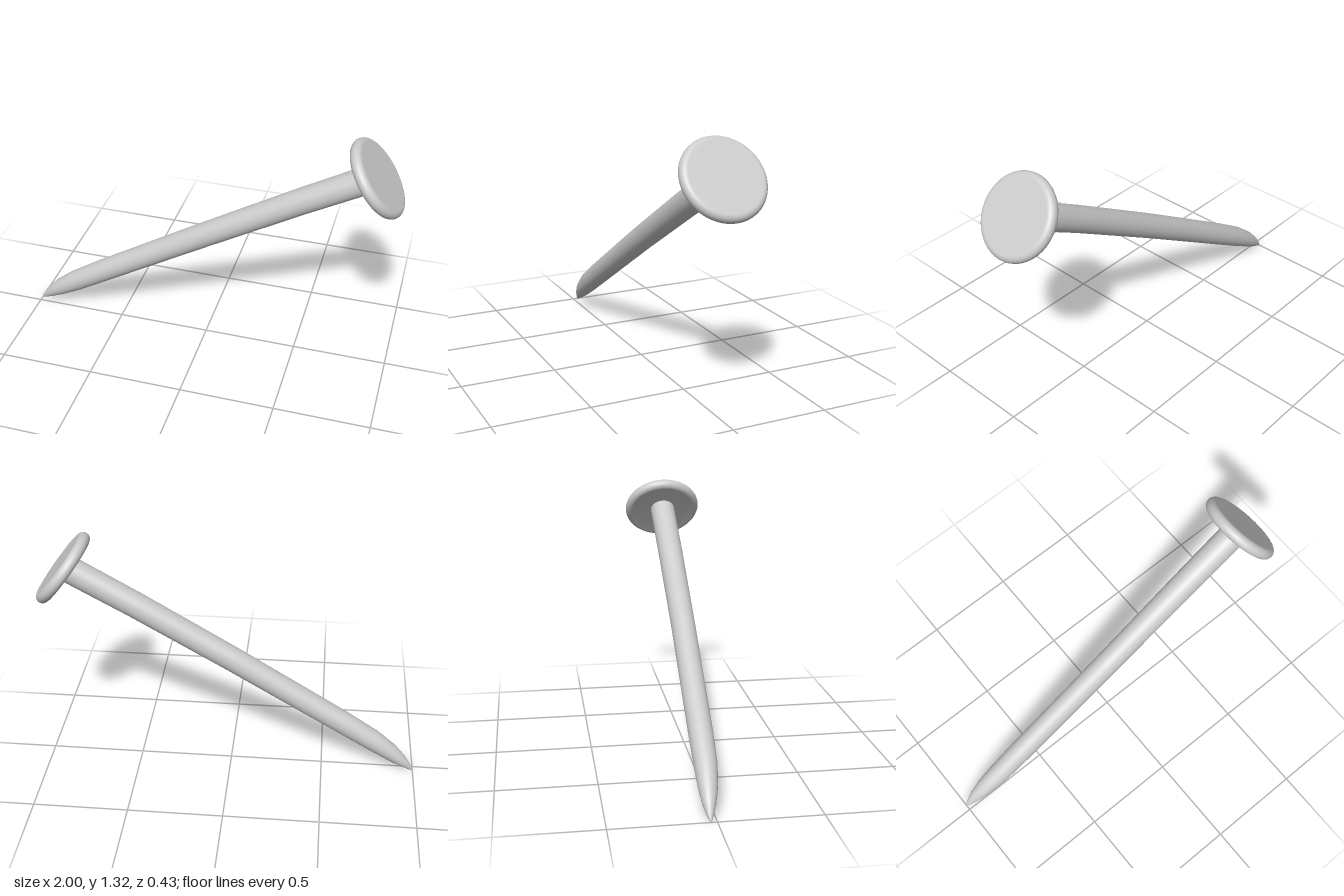
import * as THREE from 'three';

const material = new THREE.MeshStandardMaterial({ color: 0xcccccc, side: THREE.DoubleSide });

// Loft of elliptical rings along the shaft; each station is [x, y, z, in-plane radius, z radius]
function loft(stations, sides) {
  const nx = -0.515, ny = 0.857; // across the shaft in the xy plane
  const pos = [], idx = [];
  for (const [x, y, z, r, rz] of stations) {
    for (let i = 0; i < sides; i++) {
      const a = (i / sides) * Math.PI * 2;
      const c = Math.cos(a) * r;
      pos.push(x + nx * c, y + ny * c, z + Math.sin(a) * rz);
    }
  }
  for (let j = 0; j < stations.length - 1; j++) {
    for (let i = 0; i < sides; i++) {
      const k = (i + 1) % sides;
      const a = j * sides + i, b = j * sides + k;
      idx.push(a, b, b + sides, a, b + sides, a + sides);
    }
  }
  const g = new THREE.BufferGeometry();
  g.setAttribute('position', new THREE.Float32BufferAttribute(pos, 3));
  g.setIndex(idx);
  g.computeVertexNormals();
  return g;
}

export function createModel() {
  const group = new THREE.Group();
  group.name = 'nail';

  // Shaft with a lopsided tapered point
  const shaft = new THREE.Mesh(loft([
    [-0.999, 0.001, -0.03, 0.001, 0.001],
    [-0.995, 0.007, -0.03, 0.007, 0.007],
    [-0.975, 0.027, -0.029, 0.017, 0.017],
    [-0.932, 0.064, -0.026, 0.033, 0.033],
    [-0.872, 0.111, -0.021, 0.047, 0.046],
    [-0.770, 0.181, -0.015, 0.058, 0.056],
    [-0.600, 0.288, -0.012, 0.062, 0.060],
    [0.000, 0.656, -0.004, 0.066, 0.063],
    [0.500, 0.955, -0.001, 0.068, 0.067],
    [0.850, 1.155, 0.000, 0.070, 0.069],
  ], 40), material);
  shaft.name = 'shaft';
  group.add(shaft);

  // Flat round head with a fully rounded rim
  const rim = 0.182, half = 0.031;
  const profile = [new THREE.Vector2(0, -half + 0.004), new THREE.Vector2(rim - 0.03, -half + 0.004)];
  for (let i = 0; i <= 12; i++) {
    const a = -Math.PI / 2 + (i / 12) * Math.PI;
    profile.push(new THREE.Vector2(rim + Math.cos(a) * half, Math.sin(a) * half));
  }
  profile.push(new THREE.Vector2(rim - 0.03, half - 0.001), new THREE.Vector2(0, half - 0.001));
  const head = new THREE.Mesh(new THREE.LatheGeometry(profile, 64), material);
  head.name = 'head';
  head.position.set(0.857, 1.15, 0);
  head.quaternion.setFromUnitVectors(
    new THREE.Vector3(0, 1, 0), new THREE.Vector3(0.79, 0.61, 0).normalize());
  group.add(head);

  return group;
}
